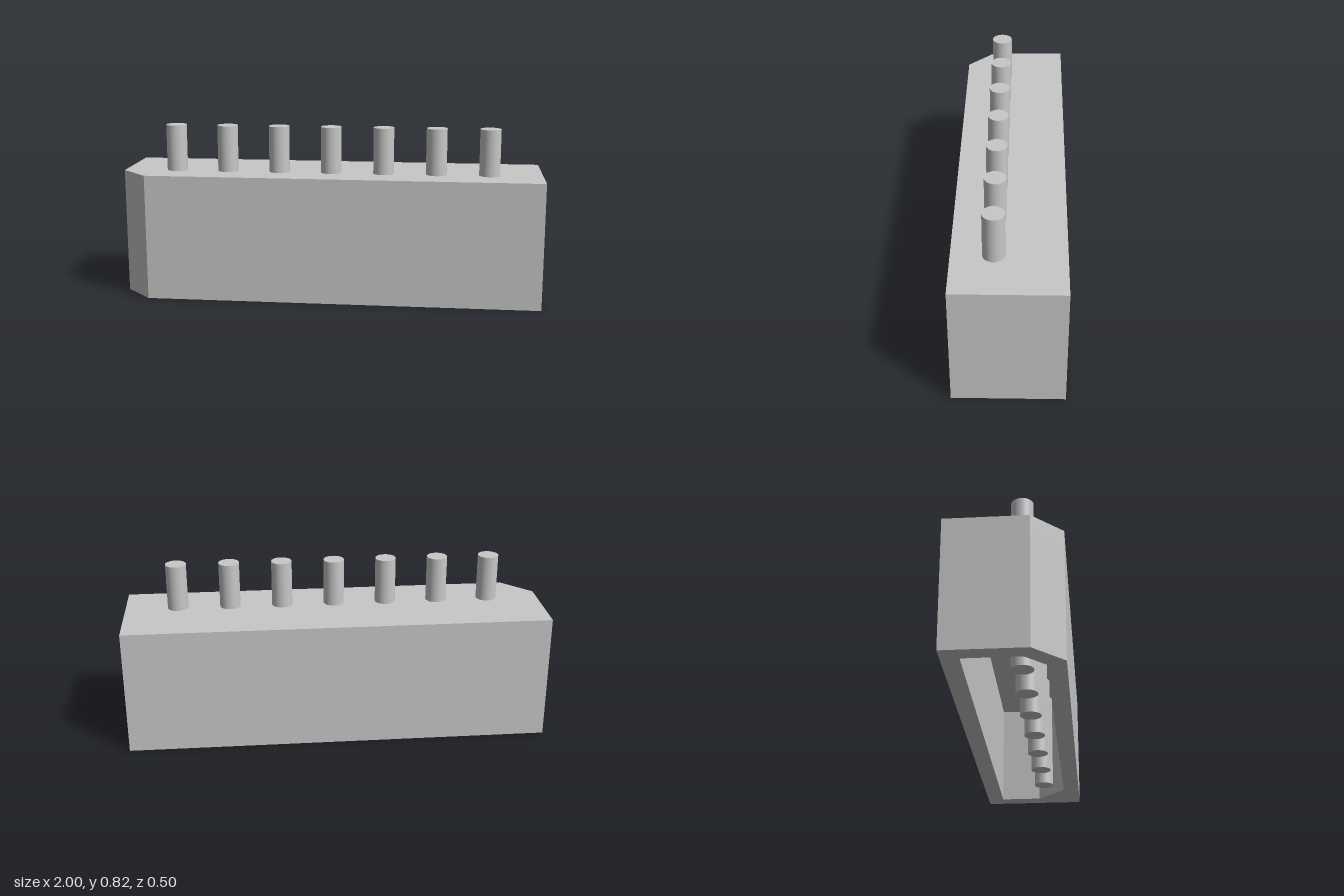
import * as THREE from 'three';

const HEIGHT = 0.6, WALL = 0.08;

// Plan outlines as [x, z]; the cavity runs opposite to the outside so its walls face inwards
const OUTER = [[-1, 0.25], [-1, 0.25], [1, 0.25], [1, -0.25], [-1, -0.25], [-1, 0.115], [-0.867, 0.25]].slice(2);
const INNER = [[-0.92, -0.17], [0.92, -0.17], [0.92, 0.03], [0.78, 0.17], [-0.834, 0.17], [-0.92, 0.082]];

const toPoints = (outline) => outline.map(([x, z]) => new THREE.Vector2(x, -z));

// Extrude a plan outline upwards from y0 to y1
function prism(outline, y0, y1, hole) {
  const shape = new THREE.Shape(toPoints(outline));
  if (hole) shape.holes.push(new THREE.Path(toPoints(hole)));
  const geometry = new THREE.ExtrudeGeometry(shape, { depth: y1 - y0, bevelEnabled: false });
  return geometry.rotateX(-Math.PI / 2).translate(0, y0, 0);
}

export function createModel() {
  const model = new THREE.Group();
  model.name = 'pinHeader';

  const grey = new THREE.MeshStandardMaterial({ color: 0xc8c8c8 });
  grey.name = 'grey';

  const add = (name, geometry) => {
    const mesh = new THREE.Mesh(geometry, grey);
    mesh.name = name;
    model.add(mesh);
    return mesh;
  };

  // Housing: hollow below, closed on top
  add('housingWalls', prism(OUTER, 0, HEIGHT - WALL, INNER));
  add('housingTop', prism(OUTER, HEIGHT - WALL, HEIGHT));

  // Row of round pins passing through the top
  const bottom = 0.02, top = 0.82;
  const pin = new THREE.CylinderGeometry(0.049, 0.049, top - bottom, 40);
  for (let i = 0; i < 7; i++) {
    add(`pin${i + 1}`, pin).position.set(-0.75 + i * 0.25, (top + bottom) / 2, 0.065);
  }

  return model;
}
